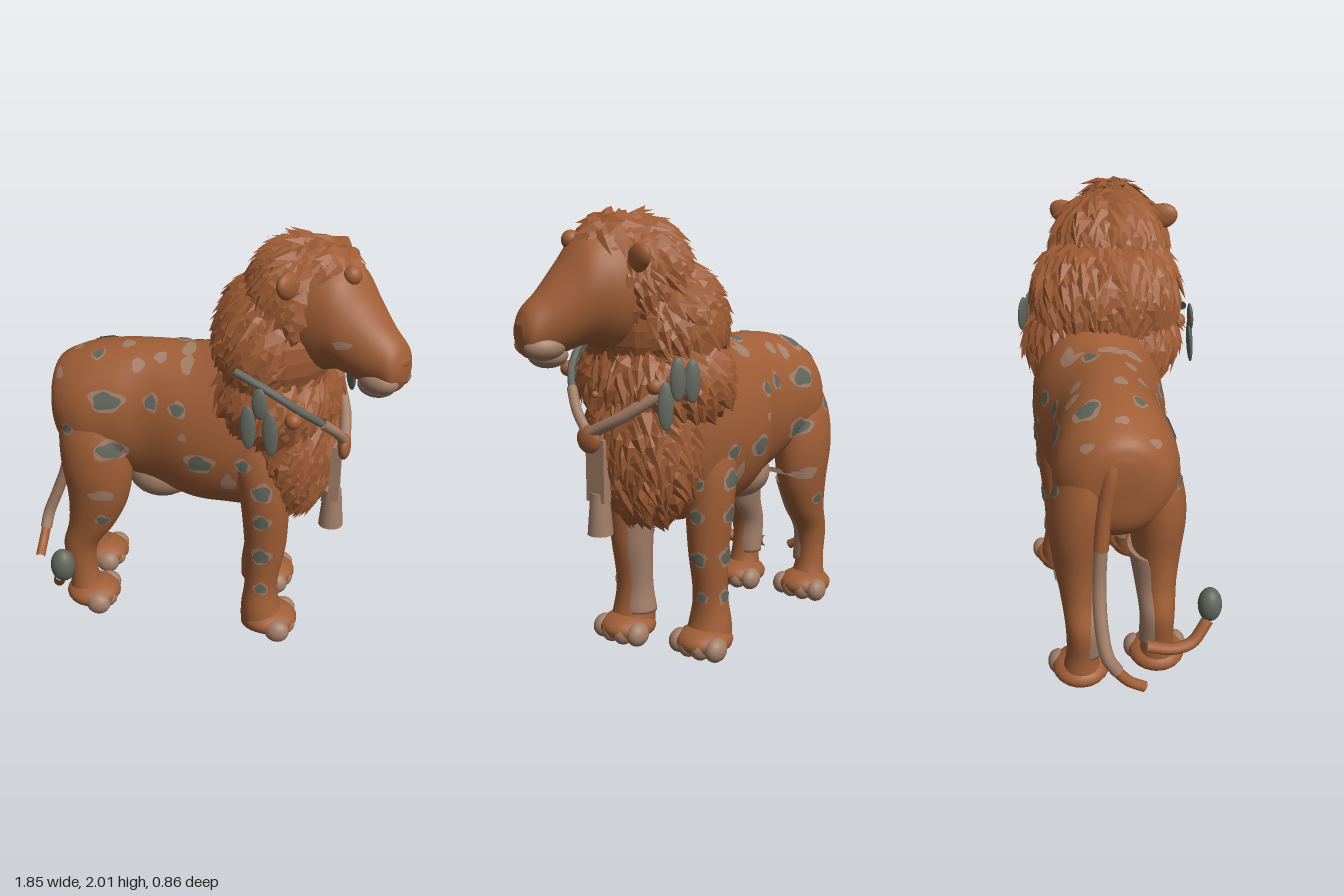
import * as THREE from 'three';

const V = (x, y, z) => new THREE.Vector3(x, y, z);
const mat = (name, color, extra = {}) => Object.assign(new THREE.MeshStandardMaterial({ color, ...extra }), { name });

// Smooth skin through elliptical sections [cx, cy, cz, ra, rb]; rings stand across axis 'x' or 'y'
function loft(sections, axis, steps = 32, seg = 28) {
  const mid = new THREE.CatmullRomCurve3(sections.map(s => V(s[0], s[1], s[2])), false, 'catmullrom', 0.5);
  const rad = new THREE.CatmullRomCurve3(sections.map(s => V(s[3], s[4], 0)), false, 'catmullrom', 0.5);
  const pos = [], idx = [];
  for (let i = 0; i <= steps; i++) {
    const c = mid.getPoint(i / steps), r = rad.getPoint(i / steps);
    for (let j = 0; j < seg; j++) {
      const a = j / seg * Math.PI * 2, u = Math.cos(a) * r.x, w = Math.sin(a) * r.y;
      if (axis === 'x') pos.push(c.x, c.y + u, c.z + w);
      else pos.push(c.x + u, c.y, c.z + w);
    }
  }
  for (let i = 0; i < steps; i++) for (let j = 0; j < seg; j++) {
    const a = i * seg + j, b = i * seg + (j + 1) % seg;
    idx.push(a, b, a + seg, b, b + seg, a + seg);
  }
  const n = pos.length / 3, last = steps * seg;
  pos.push(...mid.getPoint(0).toArray(), ...mid.getPoint(1).toArray());
  for (let j = 0; j < seg; j++) {
    const k = (j + 1) % seg;
    idx.push(n, k, j, n + 1, last + j, last + k);
  }
  // turn the skin outward
  let vol = 0;
  const p = i => V(pos[i * 3], pos[i * 3 + 1], pos[i * 3 + 2]);
  for (let i = 0; i < idx.length; i += 3) vol += p(idx[i]).dot(p(idx[i + 1]).cross(p(idx[i + 2])));
  if (vol < 0) idx.reverse();
  const g = new THREE.BufferGeometry();
  g.setAttribute('position', new THREE.Float32BufferAttribute(pos, 3));
  g.setIndex(idx);
  g.computeVertexNormals();
  return g;
}

export function createModel() {
  const root = new THREE.Group();
  root.name = 'lion';
  const fur = mat('brown fur', 0xa05e36);
  const hair = mat('brown mane', 0x9c5a33, { side: THREE.DoubleSide, flatShading: true });
  const tan = mat('pale tan', 0xa27e68, { side: THREE.DoubleSide });
  const grey = mat('grey green', 0x62665c, { side: THREE.DoubleSide });
  let seed = 7;
  const rnd = () => (seed = (seed * 16807) % 2147483647) / 2147483647;

  const add = (name, geo, m, parent = root) => {
    const mesh = new THREE.Mesh(geo, m);
    mesh.name = name;
    parent.add(mesh);
    return mesh;
  };
  const ball = (name, m, x, y, z, rx, ry = rx, rz = rx, parent = root) => {
    const mesh = add(name, new THREE.SphereGeometry(1, 20, 14), m, parent);
    mesh.position.set(x, y, z);
    mesh.scale.set(rx, ry, rz);
    return mesh;
  };

  // Trunk
  const skin = [];
  skin.push(add('body', loft([
    [-0.75, 1.15, -0.08, 0.06, 0.06], [-0.71, 1.08, -0.08, 0.21, 0.19], [-0.58, 1.05, -0.085, 0.3, 0.27],
    [-0.42, 1.06, -0.08, 0.325, 0.265], [-0.25, 1.04, -0.08, 0.36, 0.25], [-0.05, 1.01, -0.08, 0.39, 0.3],
    [0.12, 1.03, -0.08, 0.42, 0.31], [0.3, 1.05, -0.08, 0.44, 0.28], [0.45, 1.06, -0.07, 0.38, 0.22],
    [0.56, 1.07, -0.06, 0.2, 0.12]], 'x', 54, 36), fur));
  ball('pale belly', tan, -0.23, 0.72, -0.08, 0.17, 0.125, 0.17);

  // Legs [x offset, y, rx, rz] and paws
  const frontShape = [[-0.07, 1.2, 0.1, 0.06], [-0.06, 1.0, 0.15, 0.12], [-0.03, 0.78, 0.12, 0.115], [-0.02, 0.5, 0.1, 0.09],
    [-0.035, 0.28, 0.08, 0.08], [-0.035, 0.14, 0.095, 0.1], [-0.01, 0.04, 0.12, 0.11]];
  const rearShape = [[0.03, 1.2, 0.1, 0.06], [0.05, 1.0, 0.17, 0.13], [0.06, 0.82, 0.175, 0.13], [0.06, 0.64, 0.15, 0.11],
    [0.02, 0.48, 0.115, 0.085], [-0.045, 0.34, 0.085, 0.07], [-0.035, 0.18, 0.07, 0.07], [-0.01, 0.04, 0.1, 0.1]];
  function leg(name, shape, x, z, side) {
    const inward = y => -side * Math.max(0, y - 0.8) * 0.15;
    skin.push(add(name, loft(shape.map(s => [x + s[0], s[1], z + inward(s[1]), s[2], s[3]]), 'y'), fur));
    ball(name + 'Paw', fur, x + 0.01, 0.07, z, 0.135, 0.066, 0.13);
    for (let i = 0; i < 4; i++) {
      const u = i - 1.5;
      ball(name + 'Toe', tan, x + 0.09 - Math.abs(u) * 0.018, 0.058, z + u * 0.066, 0.06, 0.056, 0.047);
    }
  }
  const innerSide = (name, shape, x, z) =>
    add(name, loft(shape.map(s => [x + s[0], s[1], z, s[2] * 0.9, s[3]]), 'y'), tan);
  leg('leftFrontLeg', frontShape, 0.34, 0.13, 1);
  leg('rightFrontLeg', frontShape, 0.27, -0.26, -1);
  leg('leftRearLeg', rearShape, -0.57, 0.1, 1);
  leg('rightRearLeg', rearShape, -0.63, -0.26, -1);
  innerSide('leftFrontInnerSide', frontShape.slice(2, 6), 0.34, 0.112);
  innerSide('leftRearInnerSide', rearShape.slice(3, 7), -0.57, 0.08);
  innerSide('rightRearInnerSide', rearShape.slice(3, 7), -0.63, -0.24);

  // Tail: long fall behind, and the swung end with its tuft
  const tube = (name, pts, r, m) => add(name, new THREE.TubeGeometry(
    new THREE.CatmullRomCurve3(pts.map(q => V(...q))), 40, r, 10), m);
  tube('tailUpper', [[-0.68, 1.27, -0.1], [-0.73, 1.15, -0.13], [-0.74, 1.0, -0.16], [-0.755, 0.8, -0.18]], 0.033, fur);
  tube('tailMiddle', [[-0.755, 0.82, -0.18], [-0.77, 0.62, -0.19], [-0.83, 0.45, -0.19], [-0.88, 0.32, -0.17], [-0.887, 0.25, -0.13]], 0.03, tan);
  tube('tailLower', [[-0.887, 0.26, -0.14], [-0.89, 0.19, -0.08], [-0.885, 0.145, -0.01]], 0.025, fur);
  tube('tailEnd', [[-0.7, 0.21, 0.03], [-0.71, 0.19, 0.15], [-0.69, 0.2, 0.24], [-0.65, 0.29, 0.32]], 0.028, fur);
  ball('tailTuft', grey, -0.63, 0.36, 0.33, 0.06, 0.085, 0.055);

  // Head, turned a little to its left
  const head = new THREE.Group();
  head.name = 'head';
  head.position.set(0.49, 1.6, 0.04);
  head.rotation.y = -0.44;
  root.add(head);
  skin.push(add('skull', loft([
    [-0.12, 0.1, 0, 0.16, 0.16], [0.03, 0.07, 0, 0.26, 0.21], [0.17, 0.07, 0, 0.235, 0.19], [0.27, 0.0, 0, 0.19, 0.15],
    [0.36, -0.06, 0, 0.14, 0.115], [0.43, -0.095, 0, 0.105, 0.095], [0.46, -0.1, 0, 0.05, 0.05]], 'x', 36, 28), fur, head));
  ball('nose', fur, 0.435, -0.065, 0, 0.03, 0.03, 0.055, head);
  ball('chin', tan, 0.33, -0.2, 0, 0.085, 0.052, 0.08, head);
  for (const s of [-1, 1]) {
    ball('lip', tan, 0.365, -0.155, s * 0.052, 0.09, 0.056, 0.066, head);
    const ear = ball('ear', fur, 0.02, s > 0 ? 0.24 : 0.21, s * 0.235, 0.035, 0.06, 0.085, head);
    ear.rotation.x = -s * 0.35;
  }
  ball('foreheadBead', fur, 0.2, 0.27, 0.04, 0.04, 0.042, 0.042, head);

  // Mane masses [centre, radii, lock count]
  const masses = [
    [V(0.54, 1.83, 0.05), V(0.13, 0.145, 0.15), 110],
    [V(0.42, 1.7, 0.02), V(0.22, 0.265, 0.26), 360],
    [V(0.33, 1.5, -0.01), V(0.27, 0.31, 0.34), 480],
    [V(0.33, 1.27, -0.03), V(0.28, 0.27, 0.36), 400],
    [V(0.42, 1.0, -0.04), V(0.2, 0.37, 0.27), 420]];
  const inside = (p, m) => p.clone().sub(m[0]).divide(m[1]).length() < 0.93;
  const facing = V(Math.cos(0.44), 0, Math.sin(0.44));
  const locks = [];
  masses.forEach((m, k) => {
    ball('maneMass', hair, ...m[0].toArray(), ...m[1].clone().multiplyScalar(0.97).toArray());
    for (let i = 0; i < m[2]; i++) {
      const y = 1 - 2 * (i + 0.5) / m[2], a = i * 2.39996, r = Math.sqrt(1 - y * y);
      const unit = V(r * Math.cos(a), y, r * Math.sin(a));
      const p = unit.clone().multiply(m[1]).add(m[0]);
      const n = unit.clone().divide(m[1]).normalize();
      if (masses.some((o, j) => j !== k && inside(p, o))) continue;
      if (n.dot(facing) > 0.62 && p.y > 1.38 && p.y < 1.88) continue;
      // each lock is a ridged blade hanging down and back
      const flow = V(-0.6 + (rnd() - 0.5) * 0.9, -1, (rnd() - 0.5) * 0.9);
      flow.addScaledVector(n, -flow.dot(n)).normalize();
      const across = flow.clone().cross(n);
      const len = 0.1 + rnd() * 0.08, wide = 0.026 + rnd() * 0.024, lift = 0.01 + rnd() * 0.02;
      const at = (f, s, h) => p.clone().addScaledVector(flow, f * len).addScaledVector(across, s * wide).addScaledVector(n, h);
      const root0 = at(-0.4, 0, -0.005), l = at(0.1, -1, 0.004), rr = at(0.1, 1, 0.004), top = at(0.15, 0, lift), tip = at(0.75, 0, lift * 0.8);
      for (const v of [root0, l, top, root0, top, rr, l, tip, top, top, tip, rr]) locks.push(v.x, Math.max(v.y, 0.58), v.z);
    }
  });
  const lockGeo = new THREE.BufferGeometry();
  lockGeo.setAttribute('position', new THREE.Float32BufferAttribute(locks, 3));
  lockGeo.computeVertexNormals();
  add('maneLocks', lockGeo, hair);

  // Collar, medallion and hanging tassel
  tube('collarLeftFront', [[0.66, 1.06, 0.09], [0.63, 1.14, 0.17], [0.57, 1.22, 0.25]], 0.023, tan);
  tube('collarLeftBack', [[0.57, 1.22, 0.25], [0.49, 1.3, 0.32], [0.36, 1.4, 0.36], [0.2, 1.47, 0.335]], 0.018, grey);
  tube('collarRight', [[0.66, 1.06, 0.07], [0.64, 1.14, -0.08], [0.58, 1.23, -0.21], [0.47, 1.31, -0.31], [0.38, 1.37, -0.34]], 0.027, tan);
  ball('medallion', fur, 0.66, 1.03, 0.08, 0.03, 0.062, 0.062);
  add('strap', new THREE.BoxGeometry(0.045, 0.28, 0.1), tan).position.set(0.625, 0.89, 0.06);
  add('tassel', new THREE.CylinderGeometry(0.042, 0.058, 0.19, 14), tan).position.set(0.617, 0.695, 0.06);
  ball('bead', fur, 0.46, 1.28, 0.37, 0.036);
  ball('bead', fur, 0.58, 1.28, -0.22, 0.036);
  ball('looseBead', fur, 0.775, 1.26, -0.06, 0.015);

  // Feather pendants on both sides
  for (const [x, y, z, h] of [[0.27, 1.24, 0.39, 0.1], [0.37, 1.23, 0.41, 0.1], [0.32, 1.36, 0.4, 0.07],
    [0.64, 1.22, -0.32, 0.1], [0.61, 1.33, -0.36, 0.09], [0.56, 1.32, -0.395, 0.09]]) {
    const f = ball('feather', grey, x, y, z, 0.034, h, 0.014);
    f.rotation.set(z > 0 ? -0.08 : 0.1, z > 0 ? 0 : -0.75, 0.08);
  }

  // Coat markings: thin irregular discs laid on the skin, cast along a direction
  root.updateMatrixWorld(true);
  const ray = new THREE.Raycaster();
  function patch(m, view, u, v, ru, rv, lift) {
    const pos = [], idx = [], seg = 18, rings = 3, phase = rnd() * 6;
    for (let i = 0; i <= rings; i++) for (let j = 0; j < seg; j++) {
      const a = j / seg * Math.PI * 2, k = i / rings * (1 + 0.12 * Math.sin(3 * a + phase) + 0.07 * Math.sin(5 * a));
      const s = u + Math.cos(a) * ru * k, t = v + Math.sin(a) * rv * k;
      const [from, dir] = {
        left: [V(s, t, 2), V(0, 0, -1)], right: [V(s, t, -2), V(0, 0, 1)],
        top: [V(s, 3, t), V(0, -1, 0)], front: [V(2, t, s), V(-1, 0, 0)] }[view];
      ray.set(from, dir);
      const hit = ray.intersectObjects(skin, false)[0];
      if (!hit) return;
      const n = hit.face.normal.clone().transformDirection(hit.object.matrixWorld);
      pos.push(...hit.point.addScaledVector(n, lift).toArray());
      if (i < rings) {
        const p = i * seg + j, q = i * seg + (j + 1) % seg;
        idx.push(p, p + seg, q, q, p + seg, q + seg);
      }
    }
    const g = new THREE.BufferGeometry();
    g.setAttribute('position', new THREE.Float32BufferAttribute(pos, 3));
    g.setIndex(idx);
    g.computeVertexNormals();
    add('marking', g, m);
  }
  const spot = (view, u, v, ru, rv, dark) => {
    patch(tan, view, u, v, ru, rv, 0.004);
    if (dark) patch(grey, view, u, v, ru * 0.75, rv * 0.75, 0.008);
  };
  const flank = [[-0.43, 1.18, 0.085, 0.05, 1], [-0.22, 1.19, 0.037, 0.042, 1], [-0.09, 1.18, 0.045, 0.035, 1], [-0.41, 0.94, 0.08, 0.05, 1],
    [0.02, 0.94, 0.072, 0.052, 1], [-0.62, 1.02, 0.03, 0.03, 1], [0.22, 0.95, 0.04, 0.035, 1], [0.15, 0.84, 0.035, 0.05, 0],
    [-0.46, 0.7, 0.06, 0.03, 0], [-0.3, 1.33, 0.03, 0.025, 0], [-0.07, 1.35, 0.03, 0.03, 0], [-0.06, 1.06, 0.02, 0.02, 0], [-0.68, 1.25, 0.02, 0.02, 0]];
  for (const f of flank) {
    spot('left', ...f);
    spot('right', ...f);
  }
  for (const [y, r] of [[0.83, 0.05], [0.67, 0.045], [0.47, 0.048], [0.28, 0.035]]) {
    spot('left', 0.315, y, r, r, 1);
    spot('right', 0.24, y, r, r, 1);
    spot('front', -0.27, y, r * 0.8, r * 0.8, 1);
  }
  spot('left', -0.47, 0.55, 0.035, 0.032, 1);
  spot('right', -0.56, 0.55, 0.035, 0.032, 1);
  for (const s of [[-0.52, -0.2, 0.055, 0.06, 1], [-0.38, -0.25, 0.03, 0.03, 0], [-0.13, -0.14, 0.04, 0.04, 1], [-0.37, -0.04, 0.03, 0.03, 0],
    [-0.5, 0.02, 0.035, 0.03, 1], [-0.2, 0.03, 0.03, 0.025, 0], [-0.08, -0.04, 0.03, 0.06, 0], [-0.04, -0.23, 0.06, 0.03, 0], [-0.62, -0.07, 0.02, 0.03, 0]]) spot('top', ...s);
  spot('left', 0.64, 1.61, 0.04, 0.018, 0);
  return root;
}
